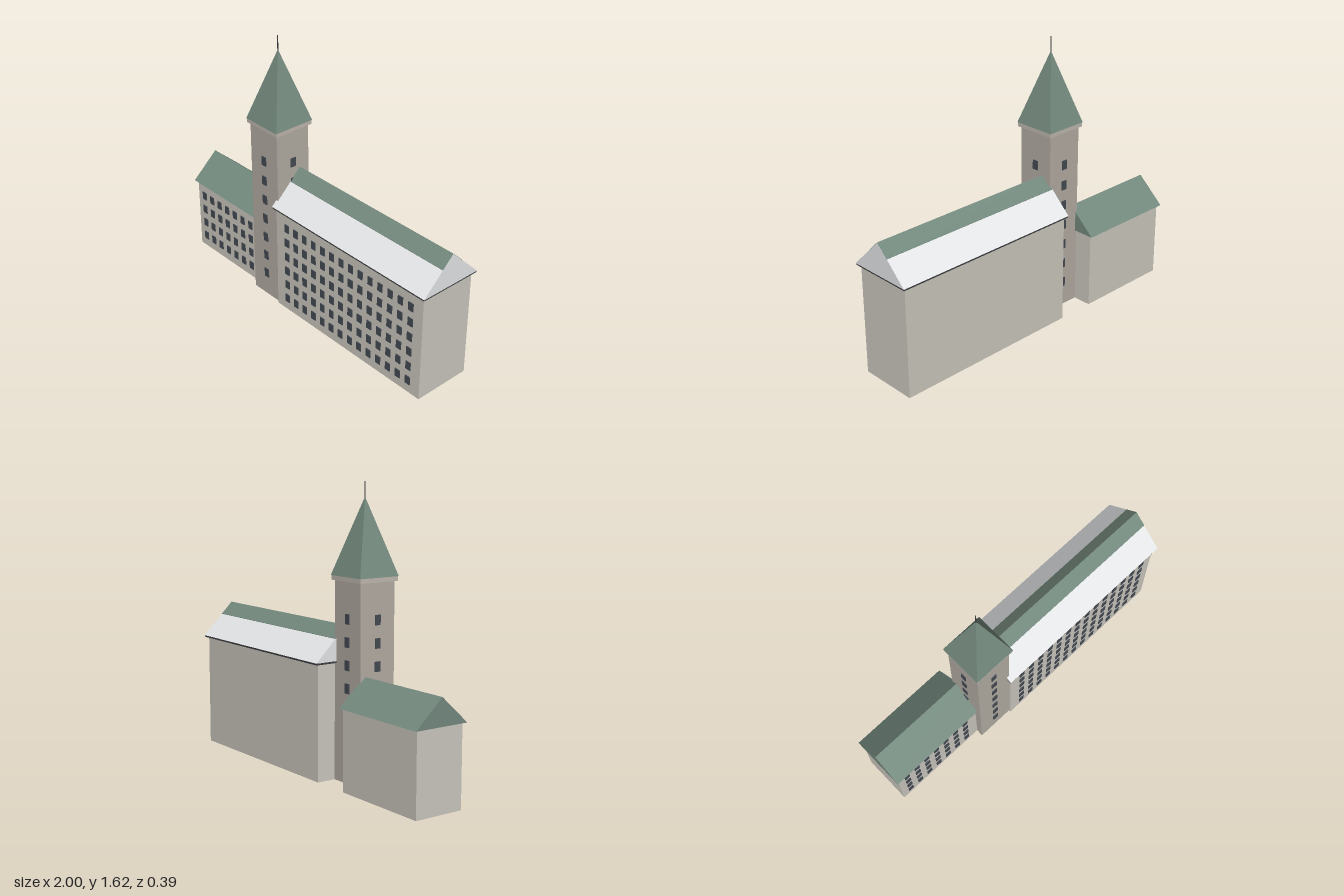
import * as THREE from 'three';

const mat = (color) => new THREE.MeshStandardMaterial({ color, flatShading: true });
const WALL = mat(0xcdc9c0), TOWER = mat(0xb4ada4), CAP = mat(0xc0b9b0), GLASS = mat(0x454b54);
const GREEN = mat(0x748a7e), PALE = mat(0xe6e8ea), DARK = mat(0x3c3e40);

function add(parent, name, geometry, material, x = 0, y = 0, z = 0) {
  const mesh = new THREE.Mesh(geometry, material);
  mesh.name = name;
  mesh.position.set(x, y, z);
  parent.add(mesh);
  return mesh;
}

// Box given by its limits on each axis
function box(parent, name, material, [x0, x1], [y0, y1], [z0, z1]) {
  return add(parent, name, new THREE.BoxGeometry(x1 - x0, y1 - y0, z1 - z0), material,
    (x0 + x1) / 2, (y0 + y1) / 2, (z0 + z1) / 2);
}

// Extrudes a (z, y) outline along x from x0 to x1
function alongX(parent, name, material, points, x0, x1, z = 0) {
  const shape = new THREE.Shape(points.map(([pz, py]) => new THREE.Vector2(-pz, py)));
  const geometry = new THREE.ExtrudeGeometry(shape, { depth: x1 - x0, bevelEnabled: false });
  geometry.rotateY(Math.PI / 2);
  return add(parent, name, geometry, material, x0, 0, z);
}

// Regular grid of slightly raised windows on a front wall
function windowGrid(parent, columns, rows, x0, y0, wallZ) {
  const group = new THREE.Group();
  group.name = 'windows';
  const geometry = new THREE.BoxGeometry(0.035, 0.05, 0.01);
  for (let c = 0; c < columns; c++)
    for (let r = 0; r < rows; r++)
      add(group, 'window', geometry, GLASS, x0 + c * 0.0747, y0 + r * 0.095, wallZ);
  parent.add(group);
}

function mainHall() {
  const g = new THREE.Group();
  g.name = 'mainHall';
  box(g, 'walls', WALL, [-0.165, 0.98], [0, 0.65], [-0.175, 0.175]);
  box(g, 'eaves', DARK, [-0.18, 0.997], [0.65, 0.66], [-0.193, 0.193]);
  alongX(g, 'roof', PALE, [[-0.195, 0.66], [0.195, 0.66], [0, 0.85]], -0.18, 1);
  // Green covering on the upper part of both slopes
  const t = 0.002;
  alongX(g, 'ridgeCovering', GREEN,
    [[0.07, 0.782], [0.07, 0.782 + t], [0, 0.85 + t], [-0.07, 0.782 + t], [-0.07, 0.782], [0, 0.85]],
    -0.18, 1);
  windowGrid(g, 14, 6, -0.075, 0.08, 0.175);
  return g;
}

function sideWing() {
  const g = new THREE.Group();
  g.name = 'sideWing';
  box(g, 'walls', WALL, [-0.985, -0.39], [0, 0.455], [-0.175, 0.12]);
  alongX(g, 'roof', GREEN, [[-0.166, 0.452], [0.166, 0.452], [0, 0.602]], -1, -0.38, -0.028);
  windowGrid(g, 7, 4, -0.925, 0.08, 0.12);
  return g;
}

function tower() {
  const g = new THREE.Group();
  g.name = 'tower';
  const h = 0.113;
  box(g, 'shaft', TOWER, [-h, h], [0, 1.1], [-h, h]);
  box(g, 'cornice', CAP, [-0.126, 0.126], [1.1, 1.127], [-0.126, 0.126]);
  const spire = new THREE.ConeGeometry(0.129 * Math.SQRT2, 0.418, 4);
  spire.rotateY(Math.PI / 4);
  add(g, 'spire', spire, GREEN, 0, 1.125 + 0.209, 0);
  add(g, 'finial', new THREE.CylinderGeometry(0.003, 0.003, 0.11, 8), DARK, 0, 1.57, 0);
  // One column of windows on each side
  const pane = new THREE.BoxGeometry(0.035, 0.055, 0.01);
  for (let side = 0; side < 4; side++) {
    const face = new THREE.Group();
    face.name = 'towerWindows';
    face.rotation.y = side * Math.PI / 2;
    for (let i = 0; i < 7; i++) add(face, 'window', pane, GLASS, 0, 0.15 + i * 0.125, h);
    g.add(face);
  }
  g.position.set(-0.278, 0, 0.05);
  return g;
}

export function createModel() {
  const model = new THREE.Group();
  model.name = 'building';
  model.add(mainHall(), sideWing(), tower());
  return model;
}
